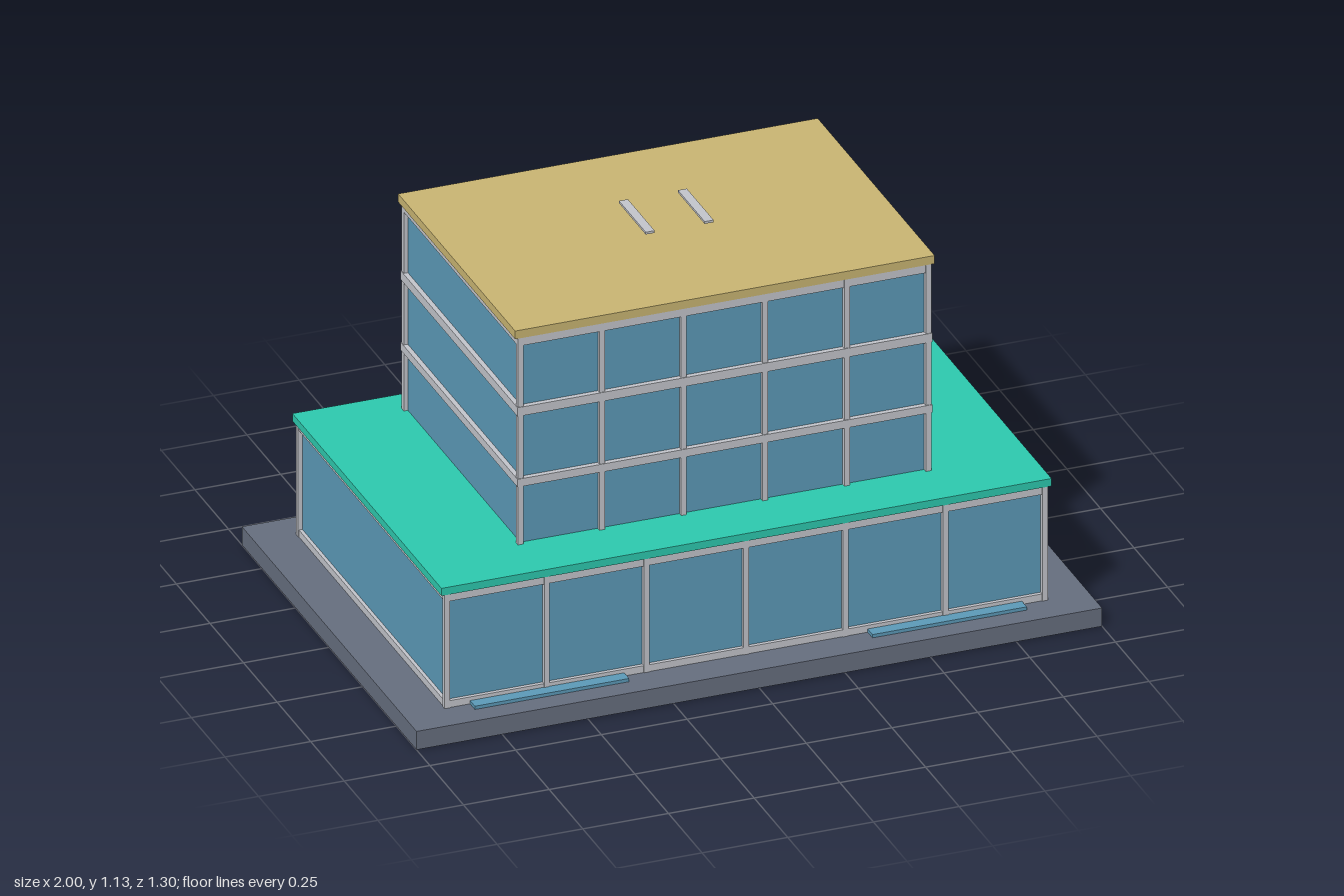
import * as THREE from 'three';

const material = (name, color) => {
  const m = new THREE.MeshStandardMaterial({ color });
  m.name = name;
  return m;
};

export function createModel() {
  const stone = material('slate stone', 0x666e7e);
  const teal = material('teal roof', 0x2dc9ae);
  const sand = material('sand roof', 0xc9b572);
  const glass = material('blue glass', 0x5c9ab8);
  const frame = material('light grey frame', 0xc3c5cb);

  // Box given by its lower and upper limits on each axis
  const block = (parent, name, mat, [x0, x1], [y0, y1], [z0, z1]) => {
    const mesh = new THREE.Mesh(new THREE.BoxGeometry(x1 - x0, y1 - y0, z1 - z0), mat);
    mesh.position.set((x0 + x1) / 2, (y0 + y1) / 2, (z0 + z1) / 2);
    mesh.name = name;
    parent.add(mesh);
  };

  // One tier: glass core, posts on the long walls, beams around all four walls
  const tier = (name, { halfX, halfZ, z, bottom, top, bays, beams }) => {
    const group = new THREE.Group();
    group.name = name;
    group.position.z = z;
    const bar = 0.016;
    const gx = halfX - 0.012, gz = halfZ - 0.013;
    block(group, 'glassWalls', glass, [-gx, gx], [bottom, top], [-gz, gz]);
    const step = (2 * halfX - bar) / bays;
    for (const s of [-1, 1]) {
      for (let i = 0; i <= bays; i++) {
        const x = -halfX + bar / 2 + i * step;
        const zc = s * (halfZ - bar / 2);
        block(group, 'post', frame, [x - bar / 2, x + bar / 2], [bottom, top], [zc - bar / 2, zc + bar / 2]);
      }
    }
    for (const [y0, y1, out] of beams) {
      const bx = halfX + out, bz = halfZ + out;
      for (const s of [-1, 1]) {
        const zc = s * (bz - bar / 2), xc = s * (bx - bar / 2);
        block(group, 'longBeam', frame, [-bx, bx], [y0, y1], [zc - bar / 2, zc + bar / 2]);
        block(group, 'sideBeam', frame, [xc - bar / 2, xc + bar / 2], [y0, y1], [-bz + bar, bz - bar]);
      }
    }
    return group;
  };

  const model = new THREE.Group();
  model.name = 'building';

  // Ground slab and entrance steps
  block(model, 'baseSlab', stone, [-1, 1], [0, 0.056], [-0.65, 0.65]);
  for (const s of [-1, 1]) {
    block(model, 'entranceStep', glass, [s * 0.58 - 0.225, s * 0.58 + 0.225], [0.056, 0.066], [0.53, 0.587]);
  }

  // Wide ground floor
  model.add(tier('groundFloor', {
    halfX: 0.88, halfZ: 0.553, z: 0, bottom: 0.056, top: 0.404, bays: 6,
    beams: [[0.056, 0.077, -0.002], [0.381, 0.404, -0.002]],
  }));
  block(model, 'lowerRoof', teal, [-0.89, 0.89], [0.404, 0.427], [-0.555, 0.555]);

  // Three upper floors, set back slightly
  model.add(tier('upperFloors', {
    halfX: 0.603, halfZ: 0.433, z: -0.041, bottom: 0.427, top: 1.059, bays: 5,
    beams: [[0.605, 0.629, 0.002], [0.821, 0.848, 0.002], [1.034, 1.059, -0.001]],
  }));
  block(model, 'upperRoof', sand, [-0.612, 0.612], [1.059, 1.084], [-0.477, 0.394]);

  // Pair of landing guide bars hovering above the roof
  for (const s of [-1, 1]) {
    block(model, 'landingGuideBar', frame, [s * 0.086 - 0.013, s * 0.086 + 0.013], [1.12, 1.127], [-0.142, 0.057]);
  }
  return model;
}
